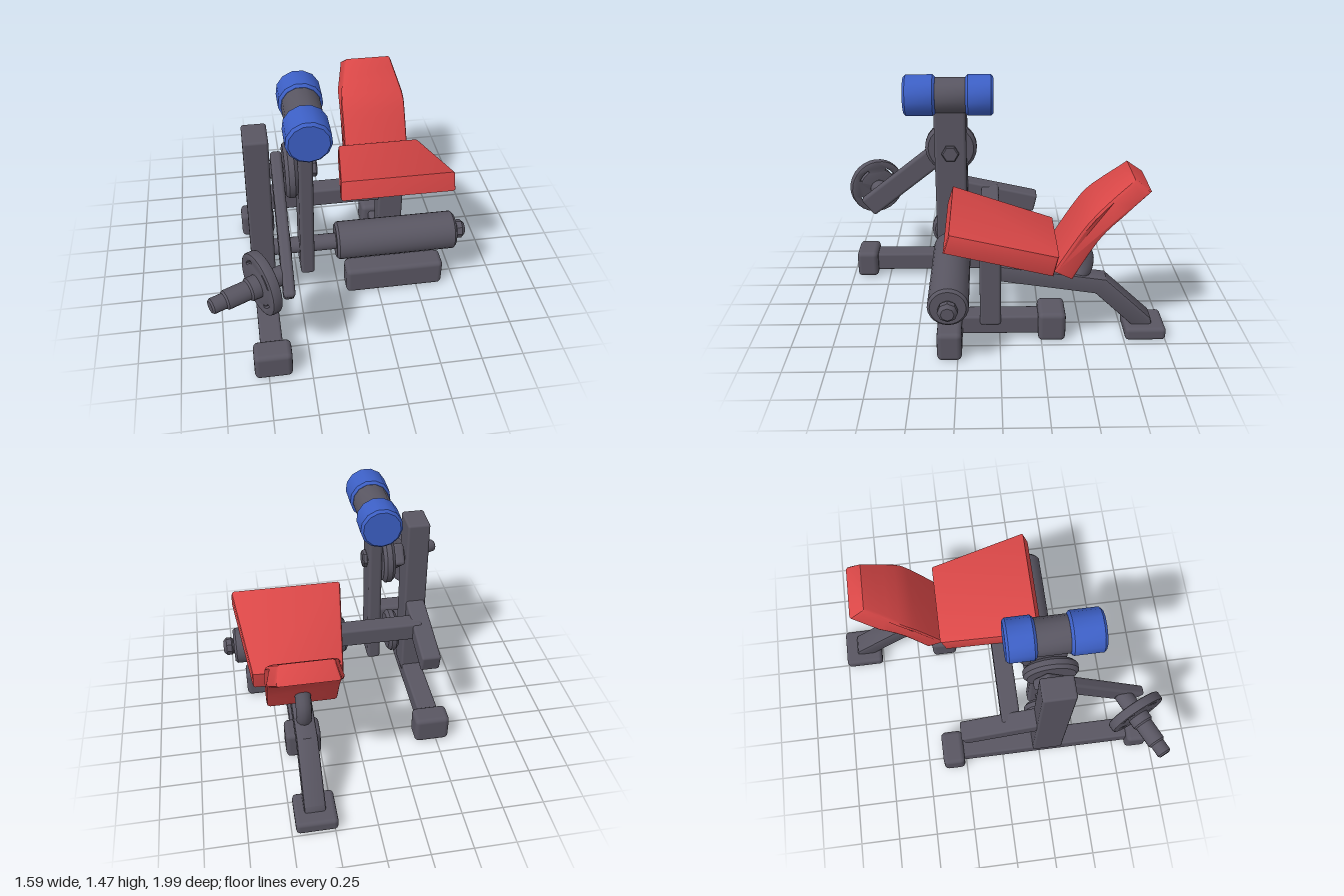
import * as THREE from 'three';
import { toCreasedNormals } from 'three/addons/utils/BufferGeometryUtils.js';
import { RoundedBoxGeometry } from 'three/addons/geometries/RoundedBoxGeometry.js';

export function createModel() {
  const model = new THREE.Group();
  const material = (name, color) => {
    const m = new THREE.MeshStandardMaterial({ color });
    m.name = name;
    return m;
  };
  const steel = material('dark steel', 0x595662);
  const red = material('red upholstery', 0xd94747);
  const blue = material('blue foam', 0x3d60c6);

  const add = (name, geometry, mat = steel, parent = model) => {
    const mesh = new THREE.Mesh(geometry, mat);
    mesh.name = name;
    parent.add(mesh);
    return mesh;
  };

  // Rounded box given by its extents on each axis
  const box = (name, [x0, x1], [y0, y1], [z0, z1], r = 0.015) => {
    const mesh = add(name, new RoundedBoxGeometry(x1 - x0, y1 - y0, z1 - z0, 2, r));
    mesh.position.set((x0 + x1) / 2, (y0 + y1) / 2, (z0 + z1) / 2);
    return mesh;
  };

  // Turned solid with chamfered ends, centred on its own y axis
  const turned = (r, length, bevel, sides) => {
    const h = length / 2;
    const profile = [[0, -h], [r - bevel, -h], [r, bevel - h], [r, h - bevel], [r - bevel, h], [0, h]];
    return toCreasedNormals(new THREE.LatheGeometry(profile.map(p => new THREE.Vector2(...p)), sides), 0.62);
  };
  // Turned solid lying along x
  const rodX = (name, x0, x1, y, z, r, bevel = 0.01, sides = 24) => {
    const mesh = add(name, turned(r, x1 - x0, bevel, sides).rotateZ(-Math.PI / 2));
    mesh.position.set((x0 + x1) / 2, y, z);
    return mesh;
  };

  // Side profile of [z, y] points, extruded across x with a bevel and optional taper
  const sideProfile = (name, points, x, width, bevel, mat, taper) => {
    const shape = new THREE.Shape(points.map(p => new THREE.Vector2(...p)));
    const geometry = new THREE.ExtrudeGeometry(shape, {
      depth: width - 2 * bevel, bevelEnabled: true, bevelSize: bevel,
      bevelThickness: bevel, bevelOffset: -bevel, bevelSegments: 2,
    });
    geometry.translate(0, 0, bevel - width / 2).rotateY(-Math.PI / 2);
    if (taper) {
      const p = geometry.attributes.position;
      for (let i = 0; i < p.count; i++) p.setX(i, p.getX(i) * taper(p.getY(i), p.getZ(i)));
    }
    const mesh = add(name, toCreasedNormals(geometry, 0.6), mat);
    mesh.position.x = x;
    return mesh;
  };

  // Weight-side base, post and its sloping brace
  box('baseRail', [-0.535, -0.405], [0.03, 0.15], [-0.36, 0.93]);
  box('baseFrontCap', [-0.58, -0.36], [0, 0.18], [0.83, 0.97], 0.03);
  box('baseRearCap', [-0.58, -0.36], [0, 0.18], [-0.4, -0.26], 0.03);
  box('mainPost', [-0.54, -0.4], [0.1, 1.25], [0.2, 0.395]);
  const brace = box('slopingBrace', [-0.53, -0.41], [0.53, 0.65], [-0.26, 0.28]);
  brace.position.set(-0.47, 0.583, 0.01);
  brace.rotation.x = -0.22;
  box('crossBeam', [-0.47, 0.36], [0.53, 0.65], [-0.005, 0.11]);

  // Seat-side base, post and rear strut
  box('seatBaseRail', [0.29, 0.42], [0.03, 0.15], [-0.34, 0.3]);
  box('seatCrossFoot', [0.045, 0.665], [0, 0.182], [0.225, 0.37], 0.03);
  box('seatRearCap', [0.245, 0.465], [0, 0.188], [-0.395, -0.23], 0.03);
  box('seatPost', [0.28, 0.435], [0.1, 0.67], [-0.005, 0.12]);
  sideProfile('rearStrut', [[0.05, 0.495], [0.05, 0.395], [-0.57, 0.3], [-0.83, 0.05],
    [-0.92, 0.09], [-0.91, 0.13], [-0.63, 0.395]], 0.355, 0.125, 0.012, steel);
  box('rearFoot', [0.23, 0.475], [0.005, 0.088], [-1, -0.755], 0.025);
  const bracketPath = new THREE.CatmullRomCurve3([[0.37, -0.43], [0.43, -0.495], [0.52, -0.508], [0.62, -0.46]]
    .map(([y, z]) => new THREE.Vector3(0.355, y, z)));
  add('backrestBracket', new THREE.TubeGeometry(bracketPath, 12, 0.047, 12));

  // Seat pad, wider at the front
  sideProfile('seatPad', [[0.315, 0.725], [0.28, 0.84], [-0.325, 0.66], [-0.295, 0.535]],
    0.36, 0.7, 0.018, red, (y, z) => THREE.MathUtils.mapLinear(z, -0.32, 0.3, 0.77, 1));

  // Curved backrest pad, narrowing at the top
  const curve = pts => new THREE.SplineCurve(pts.map(p => new THREE.Vector2(...p))).getPoints(9);
  const padFront = curve([[-0.295, 0.53], [-0.445, 0.78], [-0.55, 0.91], [-0.74, 1.07]]);
  const padBack = curve([[-0.835, 1.0], [-0.68, 0.865], [-0.55, 0.72], [-0.41, 0.475]]);
  sideProfile('backrestPad', [...padFront, ...padBack].map(p => [p.x, p.y]), 0.352, 0.425, 0.02, red,
    y => 1 - 0.28 * THREE.MathUtils.clamp((y - 0.88) / 0.18, 0, 1));

  // Swinging arm with padded roller on top
  box('swingArm', [-0.245, -0.16], [0.24, 1.3], [0.2, 0.4], 0.02);
  const rollers = [['rollerSleeve', 0.18, 0.41, 0.11, steel],
    ['frontRollerPad', 0.385, 0.58, 0.127, blue], ['rearRollerPad', 0.03, 0.2, 0.127, blue]];
  for (const [name, z0, z1, r, mat] of rollers) {
    const roller = add(name, turned(r, z1 - z0, 0.015, 13).rotateX(Math.PI / 2), mat);
    roller.position.set(-0.2, 1.348, (z0 + z1) / 2);
  }

  // Upper pivot
  rodX('upperAxle', -0.47, -0.15, 0.985, 0.3, 0.045);
  rodX('upperPivotDisc', -0.32, -0.247, 0.985, 0.3, 0.165, 0.02);
  rodX('upperPivotNut', -0.165, -0.13, 0.985, 0.3, 0.055, 0.008, 6);

  // Lower pivot and leg roller
  rodX('lowerAxle', -0.47, 0.74, 0.395, 0.295, 0.05);
  rodX('lowerPivotDisc', -0.37, -0.3, 0.39, 0.3, 0.14, 0.02);
  rodX('legRoller', -0.02, 0.725, 0.397, 0.295, 0.117, 0.015);
  rodX('legRollerNut', 0.72, 0.793, 0.397, 0.295, 0.058, 0.02, 8);

  // Weight lever, hanging forward from the upper pivot
  const lever = box('weightLever', [-0.39, -0.325], [-0.07, 0.07], [-0.41, 0.41], 0.02);
  lever.position.set(-0.357, 0.79, 0.545);
  lever.rotation.x = 0.67;

  // Weight plate and peg, angled outward
  const peg = new THREE.Group();
  peg.name = 'weightPeg';
  peg.position.set(-0.5, 0.63, 0.82);
  peg.rotation.y = -Math.PI / 2 + 0.43;
  model.add(peg);
  const plate = new THREE.Shape();
  plate.absarc(0, 0, 0.172, 0, Math.PI * 2);
  for (let i = 0; i < 4; i++) {
    const mid = Math.PI / 4 + i * Math.PI / 2;
    const slot = new THREE.Path();
    slot.absarc(0, 0, 0.145, mid - 0.38, mid + 0.38, false);
    slot.absarc(0, 0, 0.115, mid + 0.38, mid - 0.38, true);
    slot.closePath();
    plate.holes.push(slot);
  }
  const plateGeometry = new THREE.ExtrudeGeometry(plate, {
    depth: 0.035, bevelSize: 0.01, bevelThickness: 0.012, bevelSegments: 2, curveSegments: 14,
  }).translate(0, 0, -0.0175);
  add('weightPlate', toCreasedNormals(plateGeometry, 0.6), steel, peg);
  const pegParts = [['pegShaft', 0.055, -0.15, 0.23], ['pegCollar', 0.066, -0.03, 0.09], ['pegTip', 0.044, 0.2, 0.31]];
  for (const [name, r, z0, z1] of pegParts) {
    const part = add(name, turned(r, z1 - z0, 0.01, 16).rotateX(Math.PI / 2), steel, peg);
    part.position.set(0, -0.008, (z0 + z1) / 2);
  }

  return model;
}
